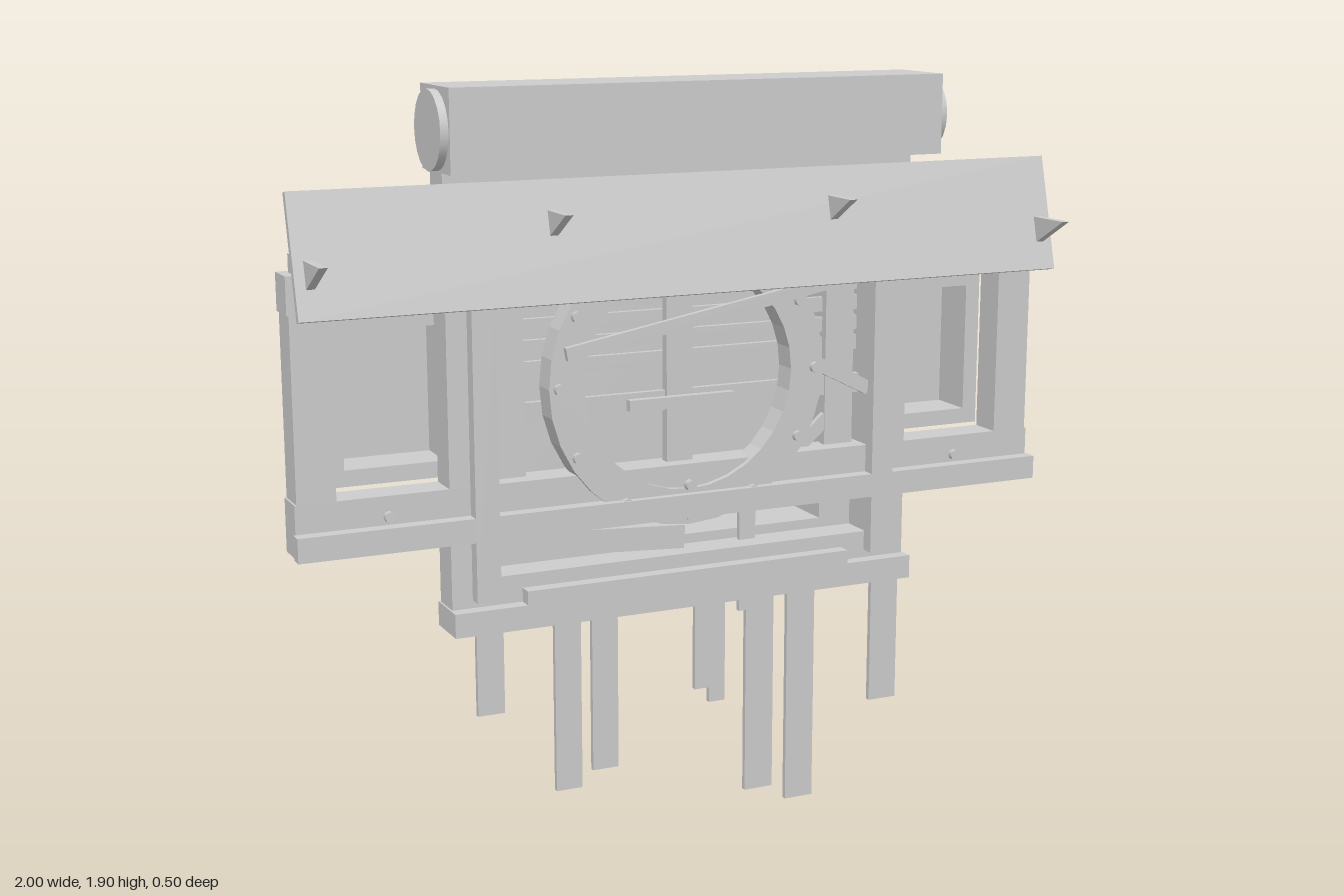
import * as THREE from 'three';

export function createModel() {
  const root = new THREE.Group();
  root.name = 'shopFront';
  const grey = new THREE.MeshStandardMaterial({ color: 0xcccccc });
  grey.name = 'plain grey';

  const add = (name, geo) => {
    const m = new THREE.Mesh(geo, grey);
    m.name = name;
    root.add(m);
    return m;
  };
  // box given by its limits
  const box = (name, x0, x1, y0, y1, z0, z1) => {
    const m = add(name, new THREE.BoxGeometry(x1 - x0, y1 - y0, z1 - z0));
    m.position.set((x0 + x1) / 2, (y0 + y1) / 2, (z0 + z1) / 2);
    return m;
  };
  // the same box on both sides of x = 0
  const pair = (name, x0, x1, ...r) => {
    box(name + 'Left', x0, x1, ...r);
    box(name + 'Right', -x1, -x0, ...r);
  };
  // plank between two points of the front plane
  const plank = (name, ax, ay, bx, by, width, z, depth) => {
    const m = add(name, new THREE.BoxGeometry(Math.hypot(bx - ax, by - ay), width, depth));
    m.position.set((ax + bx) / 2, (ay + by) / 2, z);
    m.rotation.z = Math.atan2(by - ay, bx - ax);
    return m;
  };
  const rect = (P, x0, x1, y0, y1) => new P([[x0, y0], [x1, y0], [x1, y1], [x0, y1]].map(p => new THREE.Vector2(...p)));
  // box open to the front: extruded wall plus back plate
  const openBox = (name, o, i, z0, z1) => {
    const s = rect(THREE.Shape, ...o);
    s.holes.push(rect(THREE.Path, ...i));
    const wall = add(name + 'Wall', new THREE.ExtrudeGeometry(s, { depth: z1 - z0 - 0.02, bevelEnabled: false }));
    wall.position.z = z0 + 0.02;
    box(name + 'Back', ...o, z0, z0 + 0.02);
  };

  // recessed boxes at the back
  openBox('mainBox', [-0.525, 0.525, 0.73, 1.62], [-0.42, 0.42, 0.755, 1.58], -0.25, -0.03);
  openBox('sideBoxLeft', [0.525, 0.89, 0.97, 1.39], [0.6, 0.85, 1.01, 1.34], -0.17, -0.03);
  openBox('sideBoxRight', [-0.89, -0.525, 0.97, 1.39], [-0.85, -0.6, 1.01, 1.34], -0.17, -0.03);

  // main frame
  pair('mainPost', 0.51, 0.62, 0.65, 1.69, -0.03, 0.055);
  pair('frontPost', 0.507, 0.568, 0.68, 1.42, 0.055, 0.09);
  box('header', -0.62, 0.62, 1.61, 1.705, -0.03, 0.055);
  box('upperBeam', -0.51, 0.51, 1.4, 1.49, -0.03, 0.055);
  box('baseSill', -0.625, 0.625, 0.6, 0.66, -0.035, 0.09);
  box('baseStep', -0.44, 0.44, 0.66, 0.695, -0.03, 0.09);
  box('baseRail', -0.62, 0.62, 0.66, 0.73, -0.03, 0.055);

  // side wings
  pair('wingPost', 0.895, 0.99, 0.96, 1.4, -0.03, 0.055);
  pair('wingTop', 0.62, 0.995, 1.4, 1.49, -0.03, 0.055);
  box('longSill', -0.995, 0.995, 0.83, 0.96, -0.03, 0.055);
  box('longRail', -1, 1, 0.83, 0.89, 0.055, 0.09);

  // ring with bolts
  const bolt = (x, y, z) => {
    const b = add('bolt', new THREE.CylinderGeometry(0.014, 0.014, 0.02, 8));
    b.rotation.x = Math.PI / 2;
    b.position.set(x, y, z);
  };
  const ringShape = new THREE.Shape().absarc(0, 0, 0.37, 0, Math.PI * 2);
  ringShape.holes.push(new THREE.Path().absarc(0, 0, 0.28, 0, Math.PI * 2, true));
  const ring = add('ring', new THREE.ExtrudeGeometry(ringShape, { depth: 0.065, bevelEnabled: false, curveSegments: 16 }));
  ring.position.set(0, 1.18, 0.005);
  for (let i = 0; i < 12; i++) {
    const a = i * Math.PI / 6;
    bolt(0.345 * Math.cos(a), 1.18 + 0.345 * Math.sin(a), 0.075);
  }
  for (const x of [-0.77, 0, 0.77]) bolt(x, 0.91, x ? 0.06 : 0.075);

  // boards behind the ring
  for (let i = 0; i < 4; i++) box('slat', -0.51, 0.51, 1.2 + i * 0.052, 1.237 + i * 0.052, -0.025, -0.01);
  box('crossBoard', -0.51, 0.51, 1.09, 1.14, -0.01, 0.005);
  pair('uprightBoard', 0.41, 0.49, 0.96, 1.4, -0.015, 0.01);
  box('middleBoard', -0.037, 0.033, 0.96, 1.4, -0.01, 0.015);
  box('handle', -0.145, 0.14, 1.1, 1.128, 0.015, 0.035);
  plank('longPlank', -0.33, 1.265, 0.5, 1.415, 0.032, 0.08, 0.015);
  plank('shortPlank', 0.35, 1.19, 0.51, 1.11, 0.035, 0.05, 0.02);
  plank('brokenPlank', 0.34, 0.96, 0.42, 1.03, 0.035, 0, 0.015);
  plank('fallenPlank', -0.51, 0.8, 0, 0.77, 0.06, 0.03, 0.02);

  // loose hanging strips: left, right, bottom, top
  const strips = [
    [-0.54, -0.47, 0.36, 0.73], [-0.335, -0.265, 0.13, 0.73], [-0.235, -0.165, 0.17, 0.73],
    [0.05, 0.09, 0.345, 0.73], [0.09, 0.135, 0.305, 0.73], [0.175, 0.195, 0.54, 0.83],
    [0.195, 0.275, 0.045, 0.73], [0.315, 0.395, 0, 0.73], [0.565, 0.645, 0.24, 0.78],
  ];
  for (const s of strips) box('hangingStrip', ...s, -0.017, -0.003);
  box('shortStrip', 0.195, 0.22, 0.73, 0.83, -0.017, -0.003);

  // roller housing with round end caps
  box('rollerHousing', -0.638, 0.638, 1.71, 1.905, -0.03, 0.17);
  const roller = add('roller', new THREE.CylinderGeometry(0.093, 0.093, 1.315, 20));
  roller.rotation.z = Math.PI / 2;
  roller.position.set(0, 1.805, 0.07);

  // tilted front panel
  const panel = add('tiltedPanel', new THREE.BoxGeometry(1.99, 0.292, 0.018));
  panel.position.set(0, 1.54, 0.112);
  panel.rotation.x = -Math.atan2(0.075, 0.28);

  // pointed brackets, profile in z and y
  const bracket = (x, pts) => {
    const s = new THREE.Shape(pts.map(p => new THREE.Vector2(-p[0], p[1])));
    const b = add('bracket', new THREE.ExtrudeGeometry(s, { depth: 0.02, bevelEnabled: false }));
    b.rotation.y = Math.PI / 2;
    b.position.x = x - 0.01;
  };
  for (const s of [-1, 1]) {
    bracket(s * 0.37, [[0.213, 1.613], [0.08, 1.613], [0.1, 1.545]]);
    bracket(s * 0.96, [[0.252, 1.533], [-0.01, 1.533], [-0.01, 1.48], [0.05, 1.48], [0.06, 1.425]]);
  }
  return root;
}
